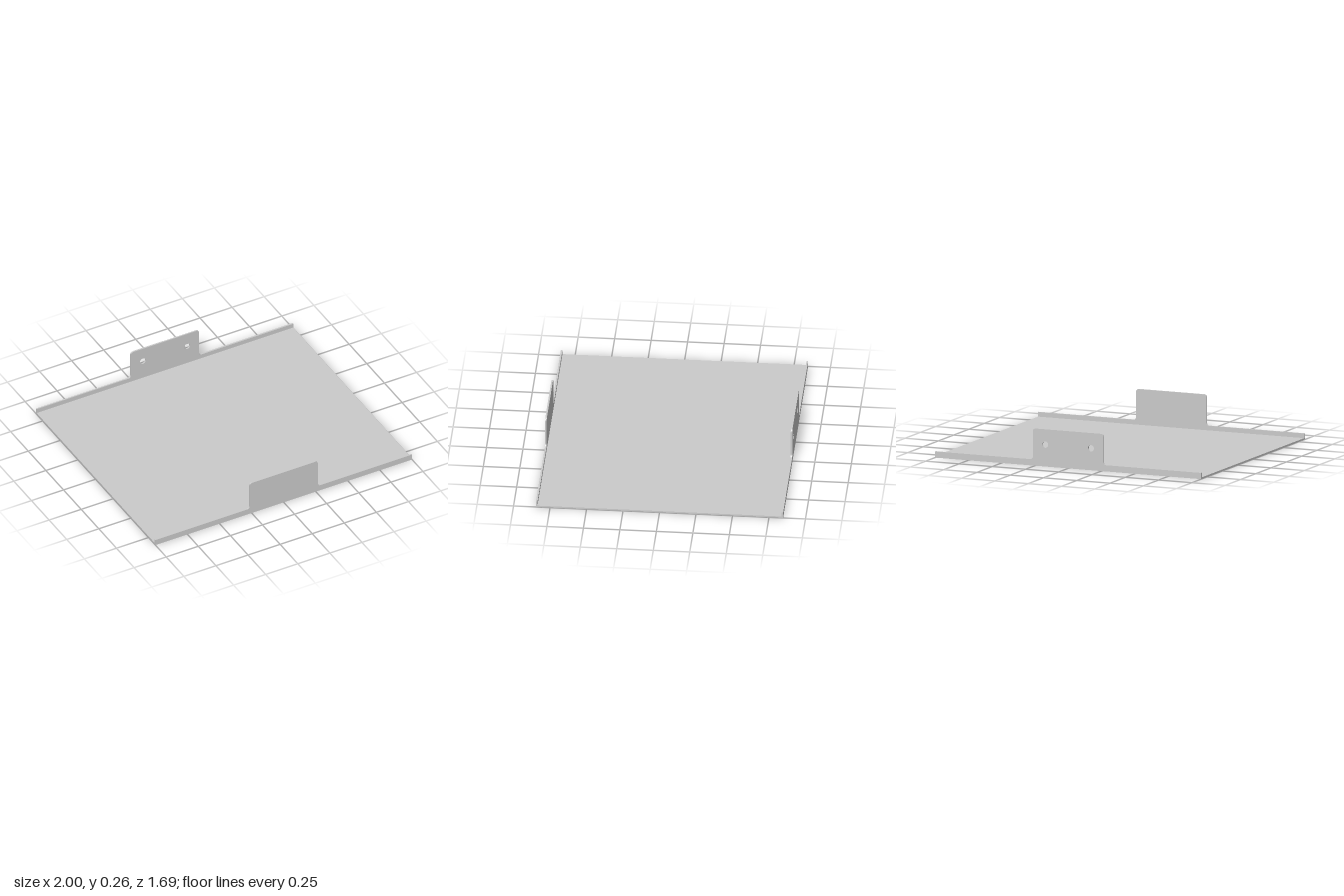
import * as THREE from 'three';

const W = 1, D = 0.847, T = 0.011;          // half width, half depth, sheet thickness
const LIP = 0.043, TAB_TOP = 0.258, TAB = 0.265, R = 0.02;

// Upturned edge with a raised centre tab, rounded at its corners and roots
function flangeGeometry(holeXs) {
  const s = new THREE.Shape();
  s.moveTo(-W, 0);
  s.lineTo(W, 0);
  s.lineTo(W, LIP);
  s.lineTo(TAB + R, LIP);
  s.absarc(TAB + R, LIP + R, R, -Math.PI / 2, -Math.PI, true);
  s.lineTo(TAB, TAB_TOP - R);
  s.absarc(TAB - R, TAB_TOP - R, R, 0, Math.PI / 2, false);
  s.lineTo(-TAB + R, TAB_TOP);
  s.absarc(-TAB + R, TAB_TOP - R, R, Math.PI / 2, Math.PI, false);
  s.lineTo(-TAB, LIP + R);
  s.absarc(-TAB - R, LIP + R, R, 0, -Math.PI / 2, true);
  s.lineTo(-W, LIP);
  s.closePath();
  for (const x of holeXs) {
    const hole = new THREE.Path();
    hole.absarc(x, 0.152, 0.022, 0, Math.PI * 2, true);
    s.holes.push(hole);
  }
  return new THREE.ExtrudeGeometry(s, { depth: T, bevelEnabled: false, curveSegments: 16 });
}

export function createModel() {
  const group = new THREE.Group();
  group.name = 'tray';
  const material = new THREE.MeshStandardMaterial({ color: 0xcccccc });
  const add = (name, geometry, y, z) => {
    const mesh = new THREE.Mesh(geometry, material);
    mesh.name = name;
    mesh.position.set(0, y, z);
    group.add(mesh);
  };

  // Flat base sheet between the two flanges
  add('basePlate', new THREE.BoxGeometry(2 * W, T, 2 * (D - T)), T / 2, 0);
  // Plain front flange, and rear flange with two mounting holes
  add('frontFlange', flangeGeometry([]), 0, D - T);
  add('backFlange', flangeGeometry([-0.172, 0.172]), 0, -D);
  return group;
}
